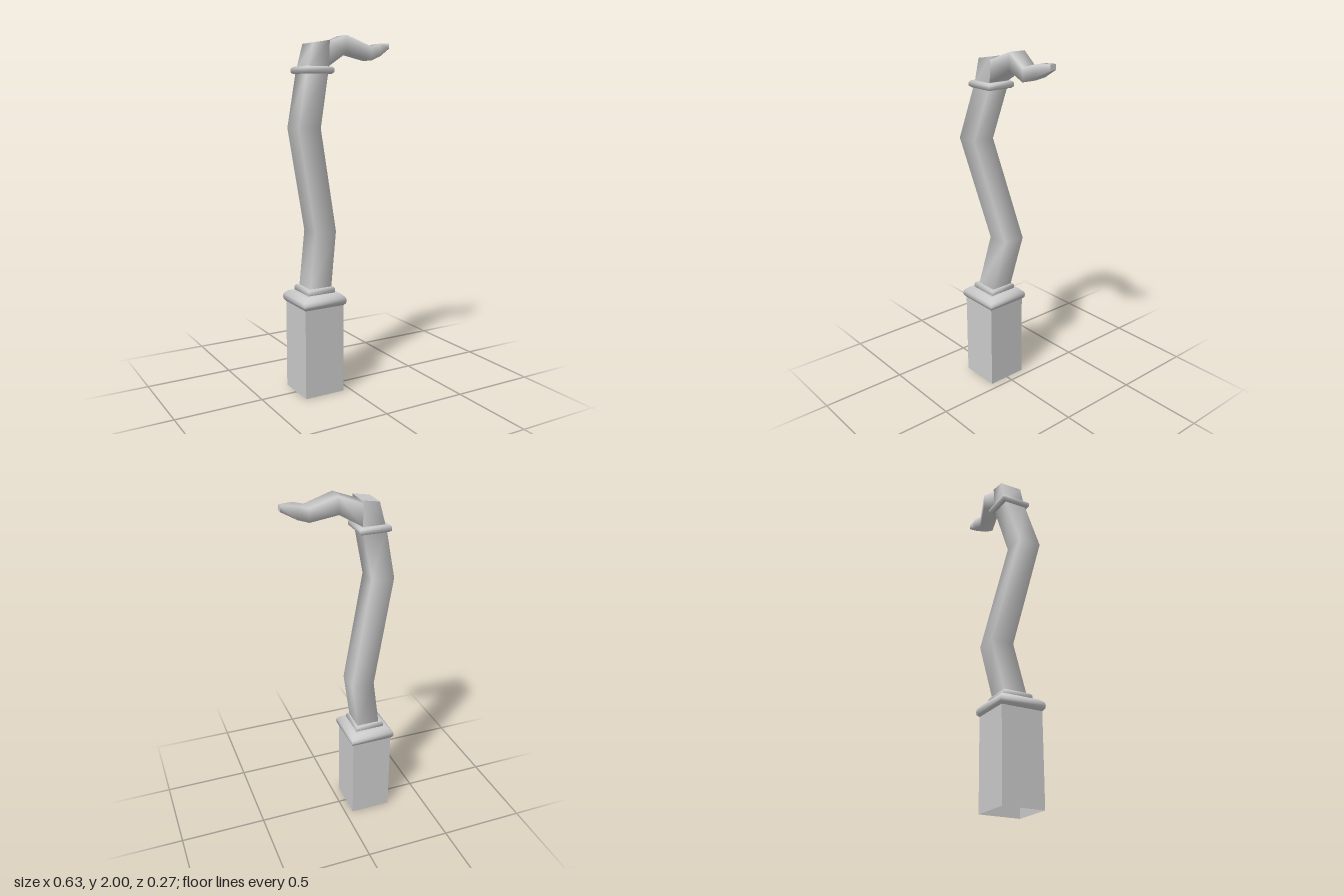
import * as THREE from 'three';

const material = new THREE.MeshStandardMaterial({ color: 0xcccccc, side: THREE.DoubleSide });

// Four corners of a level section, anticlockwise from above
const level = (y, x0, x1, z0, z1) => [[x0, y, z1], [x1, y, z1], [x1, y, z0], [x0, y, z0]];
// Four corners of an upright section, anticlockwise from +x
const upright = (x, y0, y1, z0, z1) => [[x, y0, z1], [x, y0, z0], [x, y1, z0], [x, y1, z1]];

// Skin through four-cornered sections, smooth along the sides with flat end caps
function loft(name, sections, capStart = true, capEnd = true) {
  const points = sections.flat();
  const index = [];
  for (let s = 0; s < sections.length - 1; s++) {
    for (let i = 0; i < 4; i++) {
      const a = s * 4 + i, b = s * 4 + (i + 1) % 4;
      index.push(a, b, b + 4, a, b + 4, a + 4);
    }
  }
  const cap = (corners) => {
    const n = points.length;
    points.push(...corners);
    index.push(n, n + 1, n + 2, n, n + 2, n + 3);
  };
  if (capStart) cap([...sections[0]].reverse());
  if (capEnd) cap(sections[sections.length - 1]);
  const geometry = new THREE.BufferGeometry();
  geometry.setAttribute('position', new THREE.Float32BufferAttribute(points.flat(), 3));
  geometry.setIndex(index);
  geometry.computeVertexNormals();
  const mesh = new THREE.Mesh(geometry, material);
  mesh.name = name;
  return mesh;
}

// Square moulding from a profile of [half width, height]
const collar = (name, cx, profile) =>
  loft(name, profile.map(([h, y]) => level(y, cx - h, cx + h, -h, h)));

// Square post, open underneath, with flat sides
function post() {
  const mesh = loft('basePost', [
    level(0, -0.285, -0.045, -0.12, 0.12),
    level(0.52, -0.285, -0.045, -0.12, 0.12),
  ], false, true);
  mesh.geometry = mesh.geometry.toNonIndexed();
  mesh.geometry.computeVertexNormals();
  return mesh;
}

export function createModel() {
  const model = new THREE.Group();
  model.name = 'bentArmOnPost';

  // Base and mouldings
  model.add(post());
  model.add(collar('baseCollar', -0.165, [
    [0.117, 0.505], [0.131, 0.52], [0.134, 0.535], [0.131, 0.553], [0.112, 0.572], [0.095, 0.578],
  ]));
  model.add(collar('lowerRing', -0.163, [
    [0.08, 0.575], [0.085, 0.583], [0.085, 0.6], [0.079, 0.61],
  ]));

  // Crooked arm
  model.add(loft('arm', [
    level(0.59, -0.228, -0.095, -0.067, 0.067),
    level(0.915, -0.167, -0.035, -0.115, 0.02),
    level(1.5, -0.315, -0.183, -0.018, 0.116),
    level(1.81, -0.236, -0.106, -0.066, 0.066),
  ]));
  model.add(collar('wristRing', -0.17, [
    [0.077, 1.788], [0.088, 1.797], [0.088, 1.817], [0.077, 1.827],
  ]));

  // Palm block with a slightly tilted top
  model.add(loft('palm', [
    level(1.81, -0.234, -0.105, -0.066, 0.066),
    [[-0.195, 1.95, 0.066], [-0.098, 1.966, 0.066], [-0.098, 1.966, -0.066], [-0.195, 1.95, -0.066]],
  ]));

  // Wavy tapering finger reaching sideways
  model.add(loft('finger', [
    upright(-0.105, 1.828, 1.948, -0.067, 0.065),
    upright(0.025, 1.905, 2, -0.067, 0.038),
    upright(0.165, 1.866, 1.94, -0.018, 0.07),
    upright(0.23, 1.89, 1.96, -0.026, 0.055),
    upright(0.314, 1.937, 1.966, -0.018, 0.02),
  ]));
  return model;
}
